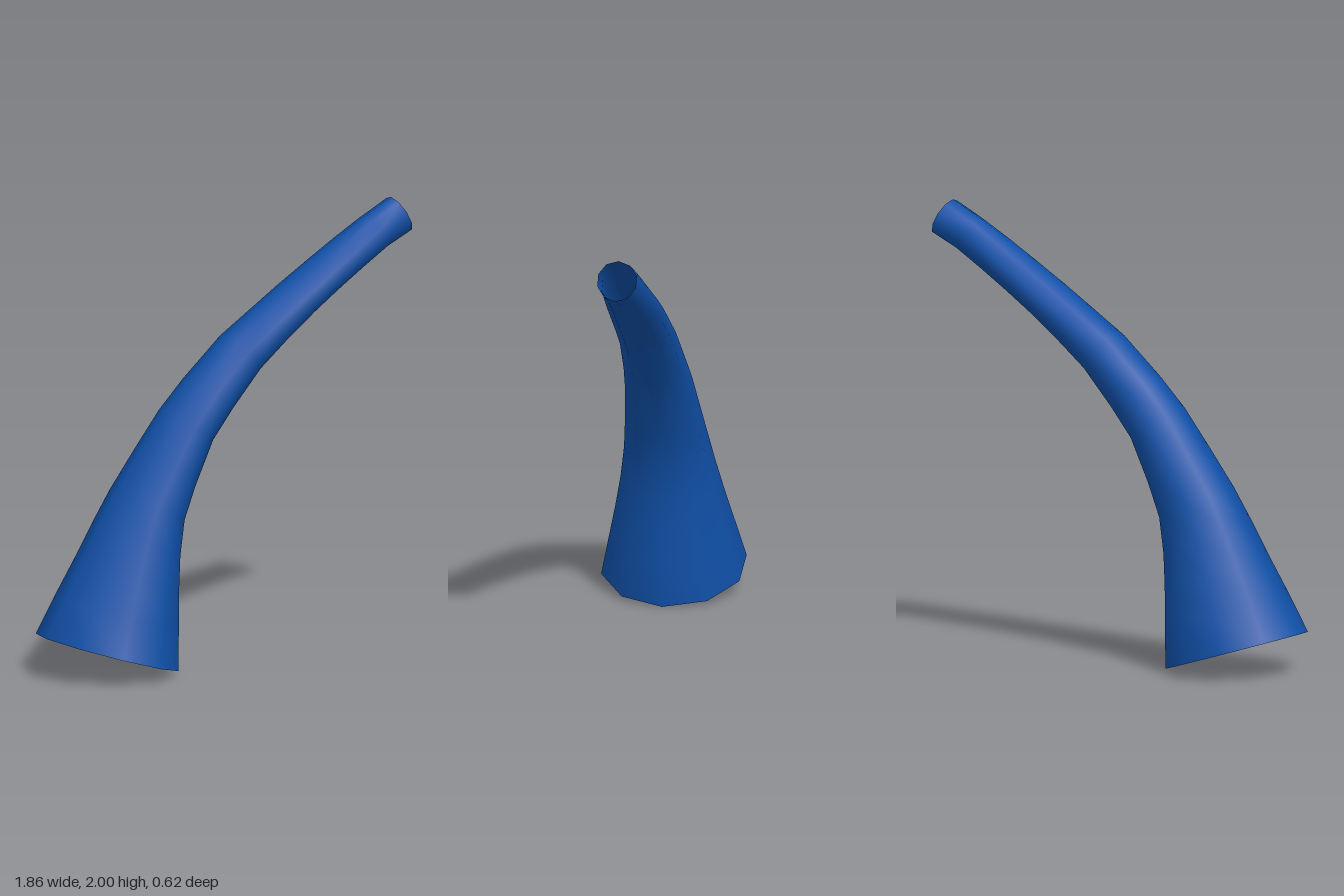
import * as THREE from 'three';

const SIDES = 10;

// Each rib of the horn: outer edge x, y, inner edge x, y, and half depth in z
const RIBS = [
  [-0.93, 0.195, -0.305, 0.005, 0.326],
  [-0.84, 0.36, -0.295, 0.2, 0.284],
  [-0.74, 0.53, -0.29, 0.36, 0.246],
  [-0.65, 0.69, -0.28, 0.51, 0.214],
  [-0.57, 0.82, -0.255, 0.67, 0.19],
  [-0.44, 1.0, -0.2, 0.81, 0.171],
  [-0.32, 1.16, -0.105, 1.01, 0.152],
  [-0.2, 1.29, 0.0, 1.14, 0.139],
  [-0.01, 1.465, 0.14, 1.3, 0.128],
  [0.14, 1.565, 0.28, 1.42, 0.124],
  [0.29, 1.665, 0.42, 1.53, 0.121],
  [0.43, 1.755, 0.54, 1.615, 0.115],
  [0.57, 1.845, 0.67, 1.7, 0.105],
  [0.7, 1.925, 0.8, 1.78, 0.092],
  [0.84, 2.0, 0.925, 1.84, 0.09],
];

// Skin the ribs with a smooth, open-ended surface
function loft(ribs) {
  const positions = [];
  const index = [];
  ribs.forEach(([ox, oy, ix, iy, depth], i) => {
    for (let j = 0; j < SIDES; j++) {
      const a = (j / SIDES) * Math.PI * 2;
      const c = Math.cos(a) / 2;
      positions.push(
        (ox + ix) / 2 + (ox - ix) * c,
        (oy + iy) / 2 + (oy - iy) * c,
        depth * Math.sin(a)
      );
      if (i === ribs.length - 1) continue;
      const p = i * SIDES + j;
      const q = i * SIDES + ((j + 1) % SIDES);
      index.push(p, q, p + SIDES, q, q + SIDES, p + SIDES);
    }
  });
  const geometry = new THREE.BufferGeometry();
  geometry.setAttribute('position', new THREE.Float32BufferAttribute(positions, 3));
  geometry.setIndex(index);
  geometry.computeVertexNormals();
  return geometry;
}

export function createModel() {
  const blue = new THREE.MeshStandardMaterial({ color: 0x1050a8, side: THREE.DoubleSide });
  blue.name = 'blue';

  // Curved hollow horn, wide at the base and narrow at the tip
  const horn = new THREE.Mesh(loft(RIBS), blue);
  horn.name = 'curvedHorn';

  const model = new THREE.Group();
  model.name = 'horn';
  model.add(horn);
  return model;
}
